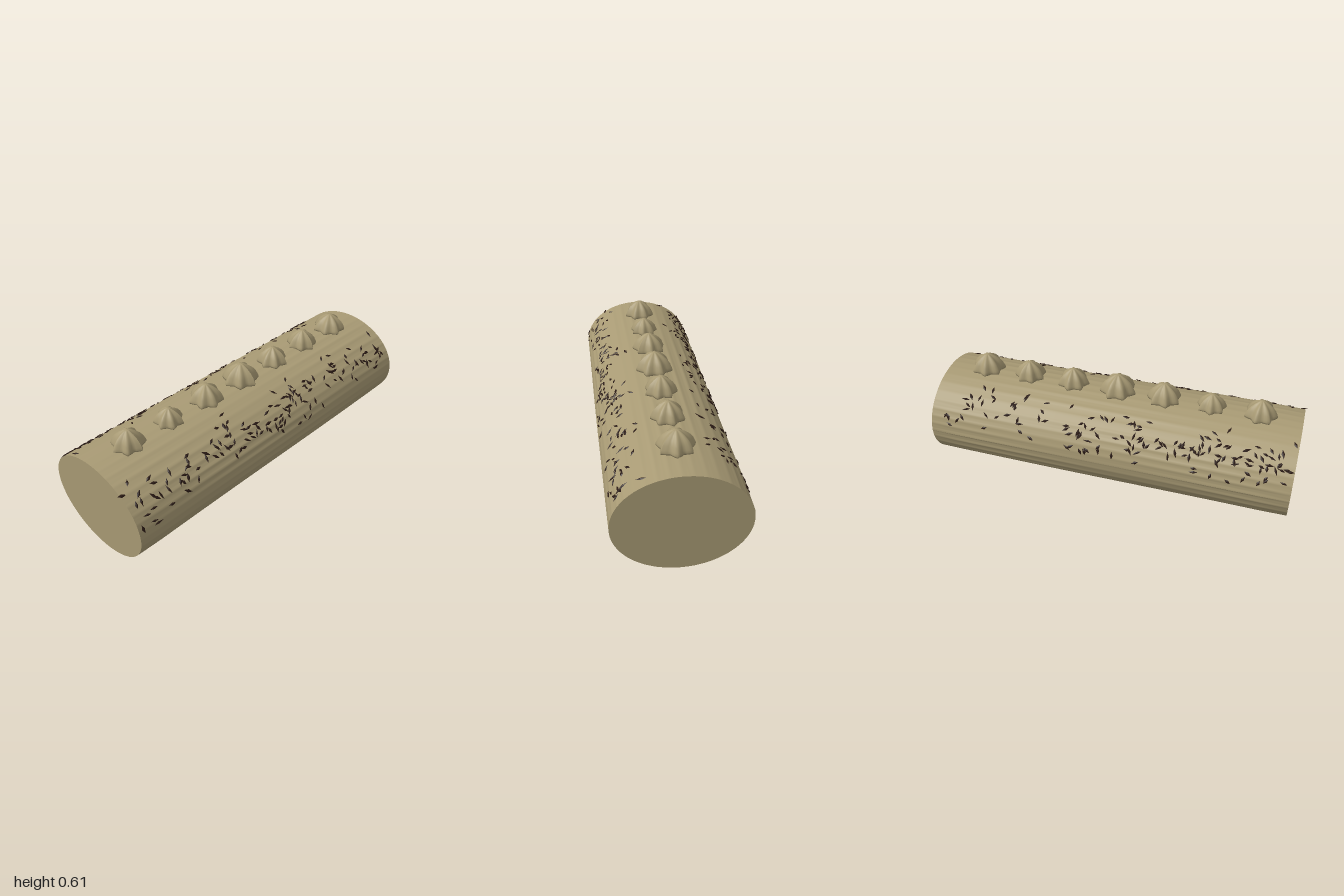
import * as THREE from 'three';
import { mergeGeometries } from 'three/addons/utils/BufferGeometryUtils.js';

const RZ = 0.325, RY = 0.254, CY = 0.262, CX = 0.008, LENGTH = 1.97;

function seeded(seed) {
  return () => {
    seed = (seed * 1664525 + 1013904223) % 4294967296;
    return seed / 4294967296;
  };
}

// Oval roll with fine lengthwise combed ridges that fade out at the flat ends
function rollGeometry() {
  const geo = new THREE.CylinderGeometry(1, 1, LENGTH, 216, 14);
  const p = geo.attributes.position;
  for (let i = 0; i < p.count; i++) {
    const a = Math.atan2(p.getZ(i), p.getX(i));
    const along = p.getY(i);
    const inside = Math.abs(along) < LENGTH / 2 - 0.01 ? 1 : 0.15;
    const strength = 0.009 + 0.004 * Math.sin(3 * a + 4 * along);
    const ridge = Math.max(0, Math.cos(36 * a + 0.5 * Math.sin(5 * a)));
    const k = 1 + inside * strength * ridge;
    p.setXYZ(i, along + CX, CY + p.getX(i) * RY * k, -p.getZ(i) * RZ * k);
  }
  geo.computeVertexNormals();
  // The axis swap must keep the faces pointing outwards
  const n = geo.attributes.normal;
  if (n.getY(0) * (p.getY(0) - CY) + n.getZ(0) * p.getZ(0) < 0) {
    const idx = geo.index;
    for (let i = 0; i < idx.count; i += 3) {
      const t = idx.getX(i);
      idx.setX(i, idx.getX(i + 1));
      idx.setX(i + 1, t);
    }
    geo.computeVertexNormals();
  }
  return geo;
}

// Piped star: a domed profile pinched into seven points
function dollopGeometry(radius, height) {
  const profile = [[0, 0], [0.98, 0], [1, 0.1], [0.95, 0.22], [0.85, 0.44], [0.68, 0.65],
    [0.45, 0.83], [0.22, 0.96], [0.1, 0.99], [0, 1]];
  const geo = new THREE.LatheGeometry(profile.map(([r, y]) => new THREE.Vector2(r, y)), 42);
  const p = geo.attributes.position;
  for (let i = 0; i < p.count; i++) {
    const x = p.getX(i), y = p.getY(i), z = p.getZ(i);
    const turn = (Math.atan2(x, z) / (2 * Math.PI)) * 7;
    const fromTip = 2 * Math.abs(turn - Math.round(turn));
    const k = radius * (1 - 0.24 * Math.pow(fromTip, 0.8));
    p.setXYZ(i, x * k, y * height, z * k);
  }
  geo.computeVertexNormals();
  return geo;
}

// Pointed flakes scattered over one upper flank; clusters are [centre x, spread, count]
function flakesGeometry(side, clusters, seed) {
  const rnd = seeded(seed);
  const bell = () => (rnd() + rnd() + rnd() - 1.5) / 1.5;
  const flakes = [];
  for (const [cx, spread, count] of clusters) {
    for (let i = 0; i < count; i++) {
      const x = THREE.MathUtils.clamp(cx + spread * (rnd() * 2 - 1), -0.972, 0.985);
      const a = THREE.MathUtils.degToRad(53 + 36 * bell());
      const out = new THREE.Vector3(0, Math.cos(a) / RY, (side * Math.sin(a)) / RZ).normalize();
      const t = rnd() * Math.PI;
      const down = new THREE.Vector3(1, 0, 0).cross(out);
      const dir = new THREE.Vector3(Math.cos(t), 0, 0).addScaledVector(down, Math.sin(t));
      dir.addScaledVector(out, 0.3 * (rnd() - 0.5)).normalize();
      const across = new THREE.Vector3().crossVectors(out, dir).normalize();
      const up = new THREE.Vector3().crossVectors(dir, across);
      const geo = new THREE.OctahedronGeometry(1);
      geo.scale(0.017 + 0.01 * rnd(), 0.004, 0.006 + 0.003 * rnd());
      const m = new THREE.Matrix4().makeBasis(dir, up, across.negate());
      // Keep the basis right-handed
      if (m.determinant() < 0) m.makeBasis(dir, up, across.negate());
      m.setPosition(x, CY + RY * 1.013 * Math.cos(a), side * RZ * 1.013 * Math.sin(a));
      flakes.push(geo.applyMatrix4(m));
    }
  }
  return mergeGeometries(flakes);
}

export function createModel() {
  const group = new THREE.Group();
  const cream = new THREE.MeshStandardMaterial({ color: 0xa89a74 });
  cream.name = 'cream';
  const chocolate = new THREE.MeshStandardMaterial({ color: 0x2a1a14 });
  chocolate.name = 'dark chocolate';

  const add = (name, geometry, material) => {
    const mesh = new THREE.Mesh(geometry, material);
    mesh.name = name;
    group.add(mesh);
    return mesh;
  };

  add('cakeRoll', rollGeometry(), cream);

  // Row of piped stars along the top: radius, height, turn
  const stars = [[0.088, 0.092, 0.2], [0.079, 0.081, 0.5], [0.093, 0.096, 0.75], [0.101, 0.103, 0.1],
    [0.087, 0.092, 0.35], [0.087, 0.092, 0.0], [0.094, 0.094, 0.6]];
  stars.forEach(([r, h, turn], i) => {
    const star = add(`creamStar${i + 1}`, dollopGeometry(r, h), cream);
    star.position.set(-0.76 + 0.255 * i, 0.516, 0);
    star.rotation.y = turn;
  });

  // Chocolate flakes on both flanks
  add('frontFlakes', flakesGeometry(1,
    [[-0.78, 0.2, 26], [-0.5, 0.12, 12], [-0.25, 0.12, 20], [0.1, 0.27, 52], [0.62, 0.2, 30], [0.9, 0.09, 14]], 7), chocolate);
  add('backFlakes', flakesGeometry(-1,
    [[-0.82, 0.16, 34], [-0.5, 0.15, 30], [-0.1, 0.25, 44], [0.4, 0.25, 22], [0.8, 0.18, 18]], 23), chocolate);
  return group;
}
